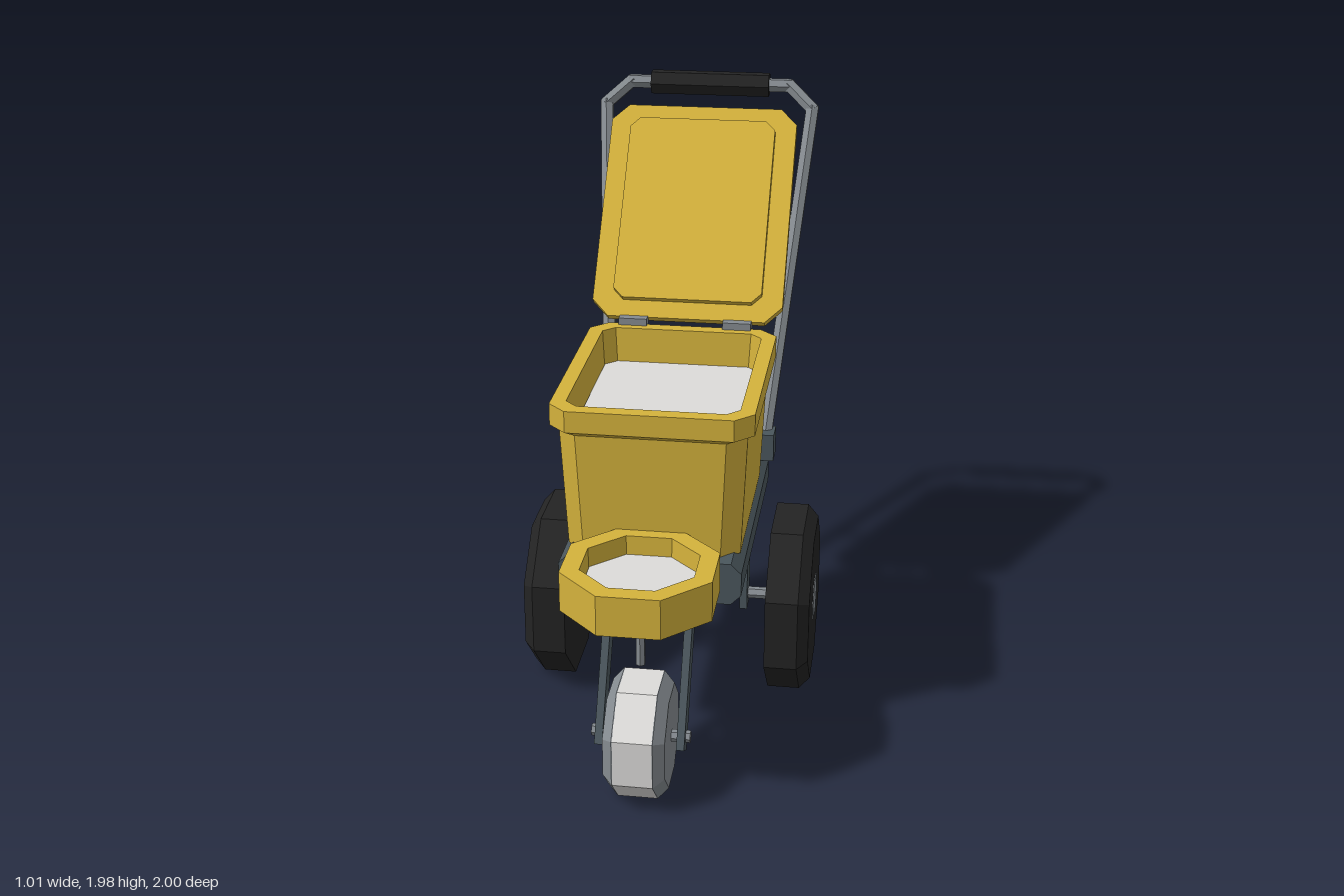
import * as THREE from 'three';

const paint = (name, color) => {
  const m = new THREE.MeshStandardMaterial({ color, flatShading: true });
  m.name = name;
  return m;
};

// Rectangle with cut corners, lofted through rings of [halfX, halfZ, cut, y]
function loft(rings) {
  const outline = ([x, z, c, y]) => [
    [x, z - c], [x - c, z], [c - x, z], [-x, z - c],
    [-x, c - z], [c - x, -z], [x - c, -z], [x, c - z],
  ].map(([px, pz]) => [px, y, pz]);
  const loops = rings.map(outline);
  const pos = [];
  const tri = (...pts) => pts.forEach((p) => pos.push(...p));
  for (let r = 0; r < loops.length - 1; r++) {
    const a = loops[r], b = loops[r + 1];
    for (let i = 0; i < 8; i++) {
      const j = (i + 1) % 8;
      tri(a[i], b[i], b[j]);
      tri(a[i], b[j], a[j]);
    }
  }
  const first = loops[0], last = loops[loops.length - 1];
  for (let k = 1; k < 7; k++) {
    tri(first[0], first[k], first[k + 1]);
    tri(last[0], last[k + 1], last[k]);
  }
  const g = new THREE.BufferGeometry();
  g.setAttribute('position', new THREE.Float32BufferAttribute(pos, 3));
  g.computeVertexNormals();
  return g;
}

// Ring of a regular octagon with flat-to-flat radius a
const oct = (a, y) => [a, a, a * 0.586, y];

export function createModel() {
  const yellow = paint('yellow plastic', 0xd4b23c);
  const pale = paint('pale grey', 0xdcdbd9);
  const metal = paint('grey metal', 0x858b90);
  const dark = paint('dark slate metal', 0x4a565c);
  const black = paint('black rubber', 0x232323);

  const model = new THREE.Group();
  model.name = 'pushCart';

  const add = (name, geometry, material, x = 0, y = 0, z = 0, parent = model) => {
    const mesh = new THREE.Mesh(geometry, material);
    mesh.name = name;
    mesh.position.set(x, y, z);
    parent.add(mesh);
    return mesh;
  };
  const box = (name, w, h, d, material, x, y, z) =>
    add(name, new THREE.BoxGeometry(w, h, d), material, x, y, z);

  // Round bar between two points, extended a little at both ends
  const bar = (name, from, to, radius, material, extra = 0) => {
    const a = new THREE.Vector3(...from), b = new THREE.Vector3(...to);
    const dir = b.clone().sub(a);
    const mesh = add(name, new THREE.CylinderGeometry(radius, radius, dir.length() + extra * 2, 6), material);
    mesh.position.copy(a).add(b).multiplyScalar(0.5);
    mesh.quaternion.setFromUnitVectors(new THREE.Vector3(0, 1, 0), dir.normalize());
    return mesh;
  };

  // Chassis, bevelled along its long edges
  const chassis = add('chassis', loft([[0.3, 0.0725, 0.034, -0.46], [0.3, 0.0725, 0.034, 0.46]]), dark, 0, 0.6575, 0.12);
  chassis.rotation.x = Math.PI / 2;

  // Tapered bin with an overhanging rim and hollow top
  add('bin', loft([
    [0.285, 0.373, 0.06, 0.72],
    [0.305, 0.393, 0.062, 1.138],
    [0.33, 0.42, 0.06, 1.157],
    [0.33, 0.42, 0.06, 1.23],
    [0.28, 0.37, 0.04, 1.23],
    [0.273, 0.363, 0.04, 1.1],
  ]), yellow, 0, 0, 0.158);
  add('binFill', loft([[0.272, 0.362, 0.04, 1.09], [0.272, 0.362, 0.04, 1.108]]), pale, 0, 0, 0.158);

  // Open lid with a raised inner panel
  const lid = new THREE.Group();
  lid.name = 'lid';
  lid.position.set(0, 1.56, -0.552);
  lid.rotation.x = 0.876;
  model.add(lid);
  add('lidPlate', loft([[0.34, 0.415, 0.06, -0.0165], [0.34, 0.415, 0.06, 0.0165]]), yellow, 0, 0, 0, lid);
  add('lidPanel', loft([[0.265, 0.352, 0.035, 0.01], [0.265, 0.352, 0.035, 0.044]]), yellow, 0, 0, 0, lid);

  // Front bowl and the post beneath it
  add('bowl', loft([oct(0.24, 0.675), oct(0.24, 0.81), oct(0.18, 0.81), oct(0.178, 0.735)]), yellow, 0, 0, 0.76);
  add('bowlFill', loft([oct(0.177, 0.73), oct(0.177, 0.745)]), pale, 0, 0, 0.76);
  bar('bowlPost', [0, 0.45, 0.765], [0, 0.69, 0.765], 0.016, metal);

  // Front wheel: pale tread between grey bevelled sides
  const tread = add('frontTread', loft([oct(0.193, -0.064), oct(0.193, 0.064)]), pale, 0, 0.193, 0.765);
  tread.rotation.z = Math.PI / 2;
  bar('frontAxle', [-0.162, 0.193, 0.765], [0.162, 0.193, 0.765], 0.02, metal);

  bar('rearAxle', [-0.49, 0.307, -0.037], [0.49, 0.307, -0.037], 0.021, metal);

  for (const s of [1, -1]) {
    const turn = -s * Math.PI / 2;
    const side = add('frontWheelSide', loft([oct(0.193, 0.063), oct(0.193, 0.066), oct(0.158, 0.1)]), metal, 0, 0.193, 0.765);
    side.rotation.z = turn;

    // Rear wheel with hexagonal hub, and the hanger that holds the axle
    const wheel = add('rearWheel', loft([oct(0.305, 0.35), oct(0.305, 0.463), oct(0.268, 0.5)]), black, 0, 0.305, -0.037);
    wheel.rotation.z = turn;
    bar('rearHub', [s * 0.345, 0.307, -0.037], [s * 0.503, 0.307, -0.037], 0.083, metal);
    box('axleHanger', 0.026, 0.35, 0.09, dark, s * 0.25, 0.437, -0.037);

    // Fork leg
    const fork = box('forkLeg', 0.026, 0.53, 0.07, dark, s * 0.134, 0.385, 0.658);
    fork.rotation.x = -0.51;

    // Handle socket, upright and bent corner
    box('handleSocket', 0.09, 0.1, 0.09, dark, s * 0.277, 0.77, -0.323);
    bar('handleUpright', [s * 0.285, 0.78, -0.328], [s * 0.385, 1.87, -0.915], 0.026, metal, 0.008);
    bar('handleCorner', [s * 0.385, 1.87, -0.915], [s * 0.297, 1.945, -0.955], 0.026, metal, 0.008);

    box('hinge', 0.1, 0.03, 0.045, metal, s * 0.185, 1.24, -0.265);
  }

  // Handle crossbars and grip
  bar('handleBrace', [-0.327, 1.24, -0.576], [0.327, 1.24, -0.576], 0.016, metal);
  bar('handleTop', [-0.297, 1.945, -0.955], [0.297, 1.945, -0.955], 0.026, metal, 0.008);
  bar('grip', [-0.22, 1.945, -0.955], [0.22, 1.945, -0.955], 0.046, black);

  return model;
}
